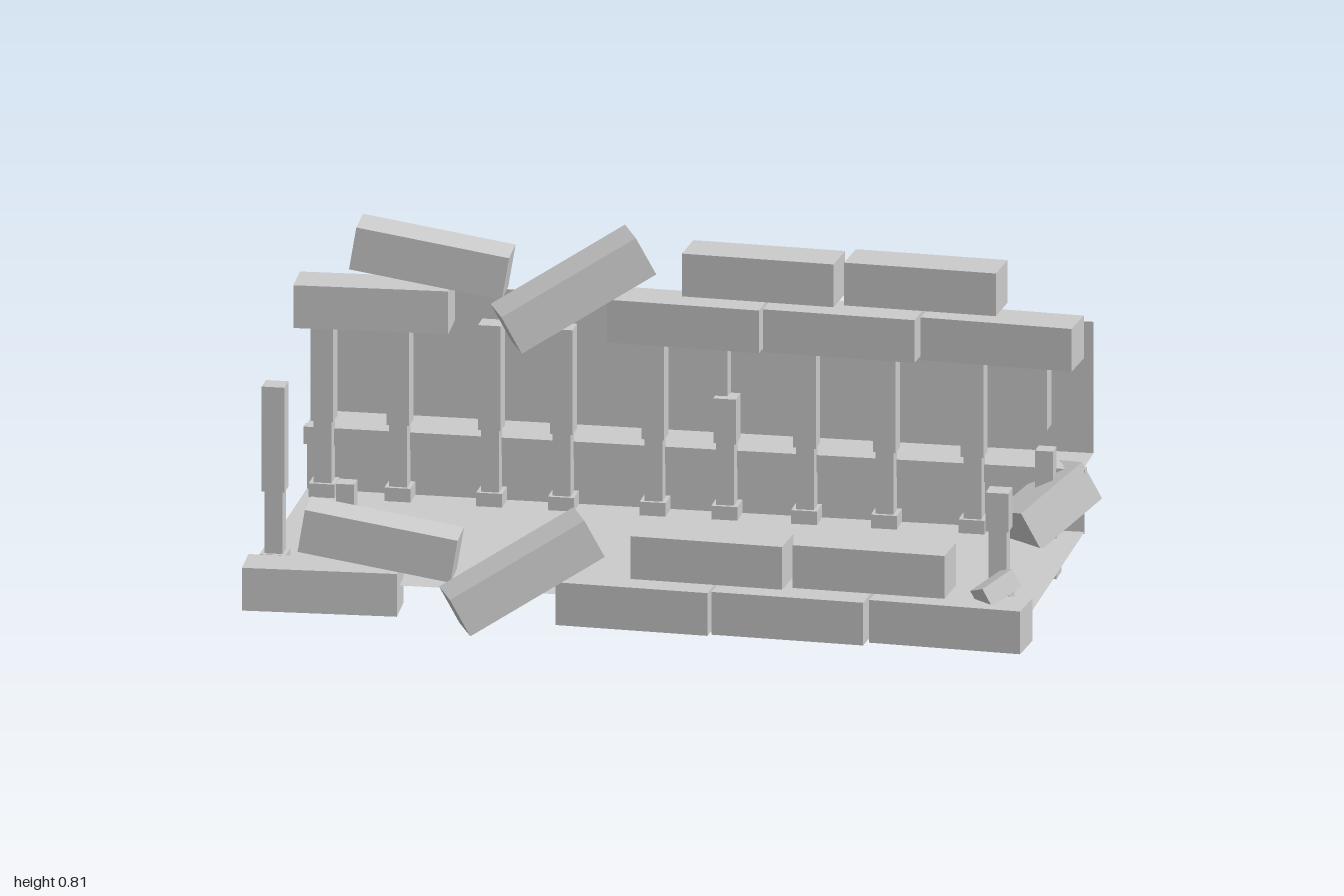
import * as THREE from 'three';

const RAD = Math.PI / 180;
const grey = new THREE.MeshStandardMaterial({ color: 0xcccccc, flatShading: true, side: THREE.DoubleSide });

function box(parent, name, size, pos, rot = [0, 0, 0]) {
  const mesh = new THREE.Mesh(new THREE.BoxGeometry(...size), grey);
  mesh.name = name;
  mesh.position.set(...pos);
  mesh.rotation.set(rot[0] * RAD, rot[1] * RAD, rot[2] * RAD, 'YXZ');
  parent.add(mesh);
  return mesh;
}

function sheet(parent, name, w, h, pos, flat) {
  const geo = new THREE.PlaneGeometry(w, h);
  if (flat) geo.rotateX(-Math.PI / 2);
  const mesh = new THREE.Mesh(geo, grey);
  mesh.name = name;
  mesh.position.set(...pos);
  parent.add(mesh);
}

// Post: square foot, narrow neck, wider shaft; a low top leaves a broken stub
function post(parent, x, z, top) {
  const g = new THREE.Group();
  g.name = 'post';
  g.position.set(x, 0, z);
  box(g, 'foot', [0.065, 0.14, 0.065], [0, 0.07, 0]);
  const neckTop = top > 0.35 ? 0.3 : top;
  box(g, 'neck', [0.045, neckTop - 0.14, 0.045], [0, (neckTop + 0.14) / 2, 0]);
  if (top > 0.35) box(g, 'shaft', [0.057, top - 0.3, 0.057], [0, (top + 0.3) / 2, 0]);
  parent.add(g);
}

// Two courses of loose blocks, some of them tumbled
function blockRow(name) {
  const g = new THREE.Group();
  g.name = name;
  const size = [0.385, 0.11, 0.118];
  const blocks = [
    // x, y, z, yaw, roll
    [-0.793, 0.095, 0.357, 3, 0],
    [-0.005, 0.095, 0.352, -3, 0],
    [0.387, 0.095, 0.36, -3, 0],
    [0.782, 0.095, 0.357, -4, 0],
    [-0.648, 0.22, 0.352, 3, -9.5],
    [-0.285, 0.172, 0.4, 24, 28],
    [0.183, 0.225, 0.354, -3, 0],
    [0.59, 0.225, 0.354, -3, 0],
  ];
  for (const [x, y, z, yaw, roll] of blocks) box(g, 'block', size, [x, y, z], [0, yaw, roll]);
  return g;
}

export function createModel() {
  const model = new THREE.Group();
  model.name = 'ruinedColonnade';

  // Floor, step, ledge and rear wall
  sheet(model, 'floor', 1.95, 0.765, [-0.005, 0.105, -0.028], true);
  sheet(model, 'step', 1.95, 0.13, [-0.005, 0.165, -0.41], false);
  sheet(model, 'ledge', 1.95, 0.12, [-0.005, 0.272, -0.47], true);
  sheet(model, 'rearWall', 1.95, 0.338, [-0.005, 0.441, -0.53], false);
  box(model, 'rail', [1.96, 0.045, 0.03], [-0.005, 0.248, -0.405]);

  // Back posts, two of them broken in the middle
  for (const x of [-0.93, -0.74, -0.51, -0.33, -0.1, 0.28, 0.48, 0.7]) post(model, x, -0.375, 0.57);
  post(model, 0.08, -0.375, 0.415);
  post(model, 0.88, -0.375, 0.325);
  box(model, 'hangingShaft', [0.05, 0.14, 0.05], [0.06, 0.49, -0.38]);
  box(model, 'hangingShaft', [0.057, 0.19, 0.057], [0.86, 0.475, -0.375]);

  // Front posts
  post(model, -0.935, 0.238, 0.57);
  post(model, -0.755, 0.242, 0.33);
  post(model, 0.88, 0.235, 0.4);

  // Block courses: fallen in front, still carried at the back
  model.add(blockRow('frontBlocks'));
  const back = blockRow('backBlocks');
  back.position.set(-0.015, 0.503, -0.75);
  model.add(back);

  // Fallen fragments
  box(model, 'fallenBlock', [0.11, 0.11, 0.22], [0.89, 0.185, -0.36], [25, -38, 12]);
  box(model, 'fallenFragment', [0.06, 0.05, 0.1], [0.89, 0.175, 0.33], [20, -40, 20]);

  return model;
}
